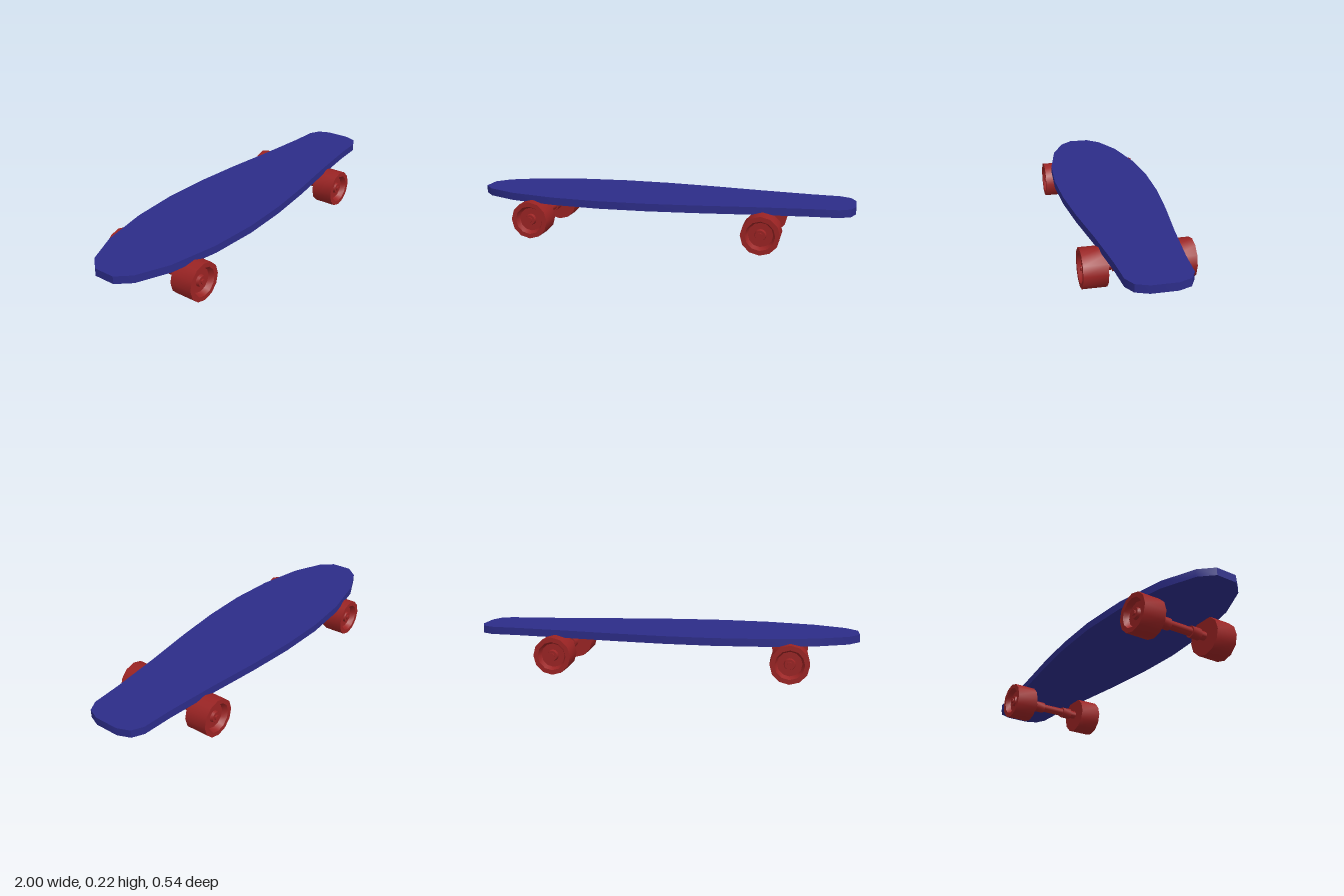
import * as THREE from 'three';
import { toCreasedNormals } from 'three/addons/utils/BufferGeometryUtils.js';

const blue = new THREE.MeshStandardMaterial({ color: 0x2c2c88 });
const red = new THREE.MeshStandardMaterial({ color: 0x9a2323 });
const WHEEL_Y = 0.099;

function part(name, geometry, material) {
  const mesh = new THREE.Mesh(toCreasedNormals(geometry, 0.6), material);
  mesh.name = name;
  return mesh;
}

// Flat deck: half-width along x, mirrored across the centre line
function createDeck() {
  const half = [
    [-1, 0.055], [-0.94, 0.122], [-0.78, 0.194], [-0.53, 0.246], [-0.28, 0.264],
    [-0.03, 0.256], [0.22, 0.231], [0.5, 0.193], [0.77, 0.163], [0.92, 0.153],
    [0.975, 0.124], [1, 0.062],
  ];
  const centre = 0.006;
  const outline = [
    ...half.map(([x, w]) => new THREE.Vector2(x, centre - w)),
    ...half.slice().reverse().map(([x, w]) => new THREE.Vector2(x, centre + w)),
  ];
  const geometry = new THREE.ExtrudeGeometry(new THREE.Shape(outline), { depth: 0.039, bevelEnabled: false });
  geometry.rotateX(-Math.PI / 2).translate(0, 0.183, 0);
  return part('deck', geometry, blue);
}

// Wheel with a dished outer face, a hub disc and an axle nut
function createWheel(side) {
  const profile = [
    [0, 0], [0.098, 0], [0.098, 0.119], [0.074, 0.119], [0.062, 0.092],
    [0.03, 0.092], [0.026, 0.107], [0.013, 0.107], [0.013, 0.116], [0, 0.116],
  ].map(([r, y]) => new THREE.Vector2(r, y));
  const geometry = new THREE.LatheGeometry(profile, 12);
  geometry.rotateX(side * Math.PI / 2).translate(0, 0, side * 0.151);
  return part(side > 0 ? 'frontSideWheel' : 'backSideWheel', geometry, red);
}

// Axle with two collars and a wheel at each end
function createTruck(name, x) {
  const truck = new THREE.Group();
  truck.name = name;
  truck.position.set(x, WHEEL_Y, 0);
  truck.add(part('axle', new THREE.CylinderGeometry(0.022, 0.022, 0.31, 12).rotateX(Math.PI / 2), red));
  for (const side of [1, -1]) {
    const collar = new THREE.CylinderGeometry(0.03, 0.03, 0.053, 12);
    collar.rotateX(Math.PI / 2).translate(0, 0, side * 0.09);
    truck.add(part('collar', collar, red), createWheel(side));
  }
  return truck;
}

export function createModel() {
  const model = new THREE.Group();
  model.name = 'skateboard';
  model.add(createDeck(), createTruck('noseTruck', -0.655), createTruck('tailTruck', 0.553));
  return model;
}
